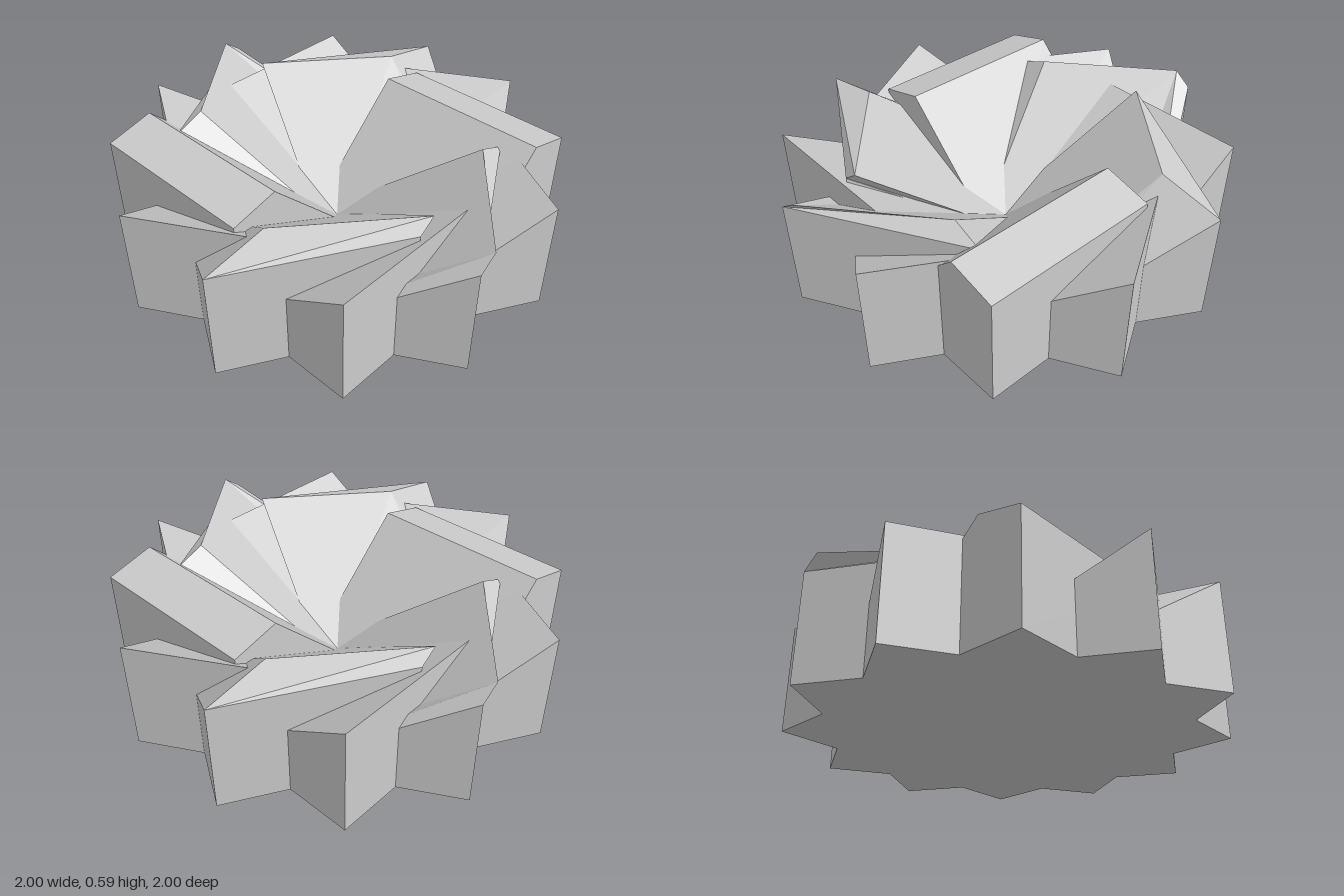
import * as THREE from 'three';

const OUT = 0.732;   // distance of a blade's outer wall and tip
const IN = -0.13;    // far edge of a blade, just past the centre
const WALL = 0.53;   // height of the outer walls
const RIDGE = 0.59;  // height of the raised ridges
const SQUEEZE = 0.69; // ridges are narrowed front to back

const material = new THREE.MeshStandardMaterial({
  color: 0xcccccc, flatShading: true, side: THREE.DoubleSide,
});

// Box whose eight corners are moved by rule(u, v, w), each 0 or 1
function mappedBox(name, rule) {
  const box = new THREE.BoxGeometry(1, 1, 1);
  const pos = box.attributes.position;
  for (let i = 0; i < pos.count; i++) {
    const p = rule(pos.getX(i) + 0.5, pos.getY(i) + 0.5, pos.getZ(i) + 0.5);
    pos.setXYZ(i, p.x, p.y, p.z);
  }
  const geometry = box.toNonIndexed();
  geometry.computeVertexNormals();
  const mesh = new THREE.Mesh(geometry, material);
  mesh.name = name;
  return mesh;
}

// Corner of a blade's square footprint, turned about the centre
function corner(u, w, y, angle) {
  const x = u ? -IN : -OUT;
  const z = w ? OUT : IN;
  return new THREE.Vector3(x, y, z).applyAxisAngle(new THREE.Vector3(0, 1, 0), angle);
}

// Wedge: tall along the outer wall, sloping to the ground past the centre
function wedge(angle) {
  return mappedBox('bladeWedge', (u, v, w) => corner(u, w, v && w ? WALL : 0, angle));
}

// Cap: joins the wedge's slope to a higher, narrowed copy of that slope
function cap(angle) {
  return mappedBox('bladeCap', (u, v, w) => {
    const p = corner(u, w, w ? (v ? RIDGE : WALL) : 0, angle);
    if (v) p.z *= SQUEEZE;
    return p;
  });
}

export function createModel() {
  const group = new THREE.Group();
  group.name = 'pinwheel';
  for (let i = 0; i < 12; i++) {
    const blade = new THREE.Group();
    blade.name = 'blade' + (i + 1);
    const angle = (i * Math.PI) / 6;
    blade.add(wedge(angle));
    // every second blade carries a ridge
    if (i % 2 === 0) blade.add(cap(angle));
    group.add(blade);
  }
  return group;
}
